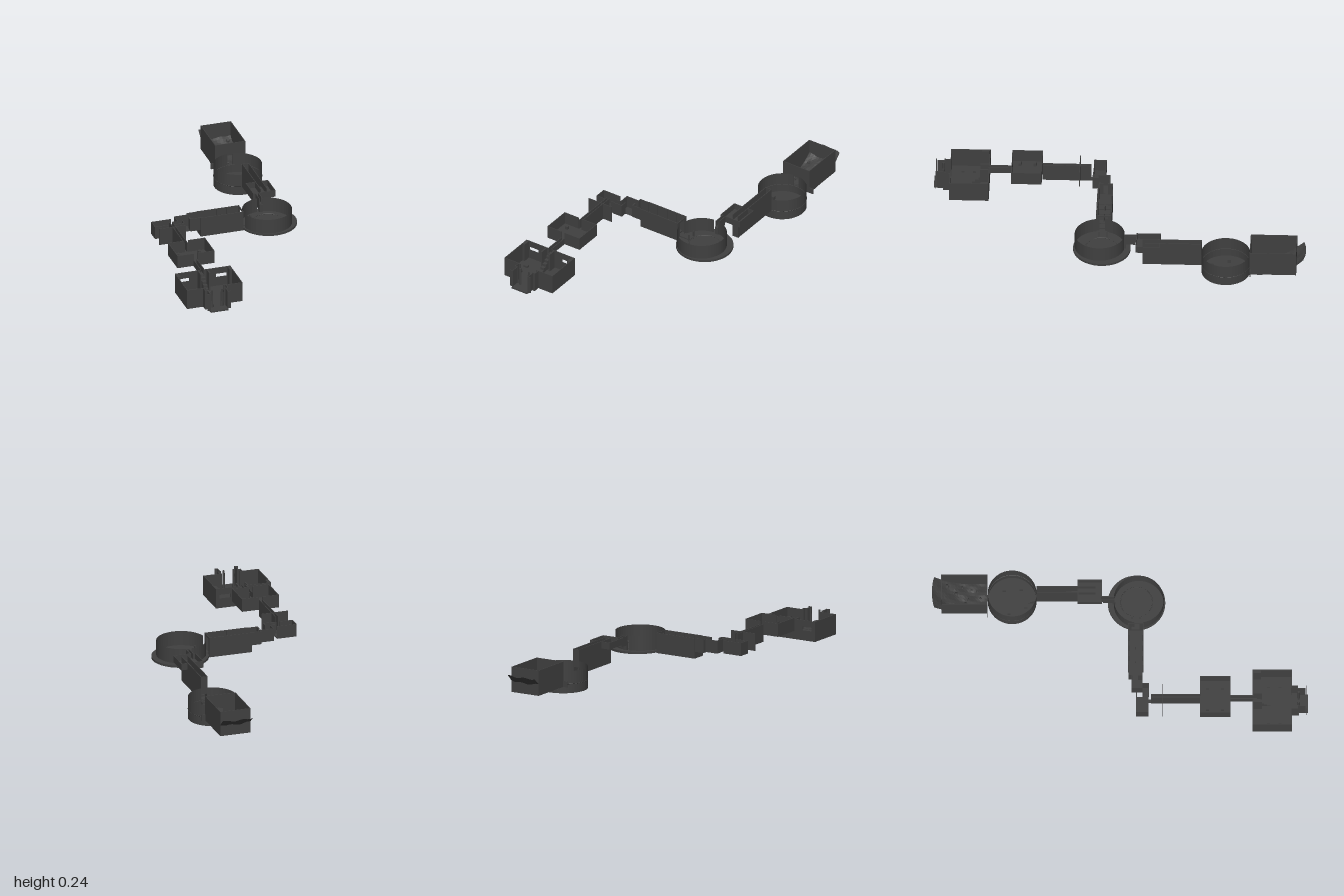
import * as THREE from 'three';

const T = 0.004; // wall thickness
const mat = new THREE.MeshStandardMaterial({ color: 0x404040, flatShading: true, side: THREE.DoubleSide });

export function createModel() {
  const model = new THREE.Group();
  let parent = model;

  const section = (name) => {
    parent = new THREE.Group();
    parent.name = name;
    model.add(parent);
  };
  const add = (name, geo, x = 0, y = 0, z = 0) => {
    const m = new THREE.Mesh(geo, mat);
    m.name = name;
    m.position.set(x, y, z);
    parent.add(m);
    return m;
  };
  // Box given by its limits
  const box = (name, x0, x1, y0, y1, z0, z1) =>
    add(name, new THREE.BoxGeometry(x1 - x0, y1 - y0, z1 - z0), (x0 + x1) / 2, (y0 + y1) / 2, (z0 + z1) / 2);

  // Upright wall along x or z, with rectangular openings [from, to, bottom, top]
  const wall = (name, axis, at, a, b, y0, y1, openings = []) => {
    const put = (p, q, lo, hi) => {
      if (q - p < 1e-4 || hi - lo < 1e-4) return;
      if (axis === 'x') box(name, p, q, lo, hi, at - T / 2, at + T / 2);
      else box(name, at - T / 2, at + T / 2, lo, hi, p, q);
    };
    let p = a;
    for (const [o0, o1, lo, hi] of openings) {
      put(p, o0, y0, y1);
      put(o0, o1, y0, lo);
      put(o0, o1, hi, y1);
      p = o1;
    }
    put(p, b, y0, y1);
  };

  // Open-topped room; openings are keyed by side
  const room = (x0, x1, y0, y1, z0, z1, open = {}) => {
    box('floor', x0, x1, y0, y0 + T, z0, z1);
    const h = T / 2;
    const sides = { back: ['x', z0 + h, x0, x1], front: ['x', z1 - h, x0, x1], right: ['z', x0 + h, z0, z1], left: ['z', x1 - h, z0, z1] };
    for (const [side, [axis, at, a, b]] of Object.entries(sides)) {
      if (open[side] !== 'none') wall(side + 'Wall', axis, at, a, b, y0, y1, open[side]);
    }
  };

  // Solid steps from height h0 at position a to height h1 at position b
  const stairs = (axis, a, b, c0, c1, base, h0, h1, n) => {
    for (let i = 0; i < n; i++) {
      const p = a + (b - a) * i / n, q = a + (b - a) * (i + 1) / n;
      const top = h0 + (h1 - h0) * (i + 0.5) / n, lo = Math.min(p, q), hi = Math.max(p, q);
      if (axis === 'x') box('step', lo, hi, base, top, c0, c1);
      else box('step', c0, c1, base, top, lo, hi);
    }
  };

  // Curved wall from angle t0 to t1 (0 is front, quarter turn is left)
  const arc = (name, x, z, r, y0, y1, t0, t1) =>
    add(name, new THREE.CylinderGeometry(r, r, y1 - y0, Math.ceil((t1 - t0) * 8), 1, true, t0, t1 - t0), x, (y0 + y1) / 2, z);
  const disc = (name, x, z, r, y0, y1) => add(name, new THREE.CylinderGeometry(r, r, y1 - y0, 48), x, (y0 + y1) / 2, z);

  // Entrance hall with windows beside the rear door
  section('entranceHall');
  room(-0.45, -0.14, 0.09, 0.2, 0.705, 0.915, {
    back: [[-0.43, -0.37, 0.145, 0.165], [-0.31, -0.285, 0.165, 0.2], [-0.22, -0.16, 0.145, 0.165]],
    front: [[-0.345, -0.245, 0.094, 0.2]],
  });
  for (const s of [-1, 1]) {
    const cx = -0.295;
    box('sidePier', cx + s * 0.145 - 0.008, cx + s * 0.145 + 0.008, 0.09, 0.2, 0.71, 0.75);
    box('doorPier', cx + s * 0.025 - 0.004, cx + s * 0.025 + 0.004, 0.09, 0.2, 0.71, 0.755);
    for (const z of [0.79, 0.85]) box('bench', cx + s * 0.1 - 0.012, cx + s * 0.1 + 0.012, 0.09, 0.105, z - 0.008, z + 0.008);
    wall('porchWall', 'z', cx + s * 0.063, 0.91, 0.945, 0.09, 0.2);
    wall('porchShoulder', 'x', 0.945, cx + s * 0.055 - 0.01, cx + s * 0.055 + 0.01, 0.09, 0.2);
    wall('porchOuterWall', 'z', cx + s * 0.05, 0.945, 0.985, 0.1, 0.2);
    wall('porchReturn', 'x', 0.99, cx + s * 0.056 - 0.01, cx + s * 0.056 + 0.01, 0.1, 0.2);
    add('porchColumn', new THREE.CylinderGeometry(0.006, 0.008, 0.1, 8), cx + s * 0.028, 0.15, 0.95);
  }
  box('porchFloor', -0.36, -0.23, 0.09, 0.096, 0.91, 0.95);
  box('porchStep', -0.345, -0.245, 0.092, 0.1, 0.95, 1);
  stairs('z', 0.8, 0.71, -0.308, -0.286, 0.092, 0.1, 0.168, 5);

  // Passage to the square room
  section('firstPassage');
  room(-0.308, -0.286, 0.168, 0.204, 0.585, 0.71, { front: 'none', back: 'none' });

  section('squareRoom');
  const gap = [[-0.305, -0.285, 0.172, 0.24]];
  room(-0.397, -0.19, 0.168, 0.24, 0.425, 0.588, { front: gap, back: gap });
  for (const x of [-0.355, -0.235]) for (const z of [0.465, 0.545])
    box('block', x - 0.008, x + 0.008, 0.17, 0.19, z - 0.008, z + 0.008);

  // Narrow stepped passage with a cross wall
  section('steppedPassage');
  for (const x of [-0.304, -0.288]) wall('passageWall', 'z', x, 0.165, 0.425, 0.13, 0.225);
  stairs('z', 0.425, 0.15, -0.304, -0.288, 0.13, 0.172, 0.138, 8);
  wall('crossWall', 'x', 0.225, -0.38, -0.23, 0.13, 0.225, [[-0.304, -0.288, 0.15, 0.2]]);

  // Crooked chain of small chambers
  section('crookedPassage');
  room(-0.38, -0.27, 0.13, 0.2, 0.085, 0.152, { left: 'none', front: [[-0.304, -0.288, 0.134, 0.2]] });
  room(-0.27, -0.215, 0.13, 0.2, 0.12, 0.155, { right: 'none', back: [[-0.245, -0.215, 0.134, 0.2]] });
  room(-0.245, -0.17, 0.13, 0.2, 0.062, 0.12, { front: 'none', left: [[0.07, 0.095, 0.134, 0.2]] });
  room(-0.17, -0.115, 0.127, 0.2, 0.045, 0.12, { right: [[0.07, 0.095, 0.134, 0.2]], left: 'none' });

  // Long gallery with a descending middle
  section('longGallery');
  room(-0.115, 0.125, 0.09, 0.2, 0.042, 0.125, { right: [[0.045, 0.12, 0.13, 0.2]], left: [[0.06, 0.105, 0.1, 0.19]] });
  stairs('x', -0.112, 0.1, 0.044, 0.123, 0.092, 0.132, 0.1, 6);
  for (const x of [-0.05, 0.03]) box('divider', x - 0.025, x + 0.025, 0.1, 0.15, 0.081, 0.086);
  for (const x of [-0.06, 0, 0.06]) for (const z of [0.046, 0.117]) box('pilaster', x - 0.004, x + 0.004, 0.095, 0.2, z, z + 0.004);

  // Upper round chamber on a wide base
  section('upperRotunda');
  disc('baseFlange', 0.274, 0.088, 0.153, 0.092, 0.104);
  disc('lowerDisc', 0.274, 0.088, 0.085, 0.083, 0.094);
  add('floorRing', new THREE.TorusGeometry(0.085, 0.003, 6, 48).rotateX(Math.PI / 2), 0.274, 0.105, 0.088);
  const P = Math.PI;
  arc('curvedWall', 0.264, 0.1, 0.133, 0.104, 0.185, -0.5 * P + 0.17, P - 0.06);
  arc('curvedWall', 0.264, 0.1, 0.133, 0.104, 0.185, P + 0.1, 1.5 * P - 0.17);
  box('landing', 0.12, 0.19, 0.098, 0.11, 0.065, 0.105);
  box('rearDoorSill', 0.262, 0.282, 0.104, 0.148, -0.04, -0.025);
  for (const s of [-1, 1]) box('doorPost', 0.18, 0.188, 0.1, 0.14, 0.085 + s * 0.022 - 0.003, 0.085 + s * 0.022 + 0.003);

  // Small antechamber
  section('antechamber');
  room(0.262, 0.282, 0.146, 0.182, -0.1, -0.03, { front: 'none', back: 'none' });
  box('passageFooting', 0.262, 0.282, 0.13, 0.146, -0.09, -0.03);
  room(0.25, 0.375, 0.146, 0.183, -0.225, -0.095, { front: [[0.262, 0.282, 0.15, 0.183]], back: [[0.302, 0.34, 0.15, 0.183]] });

  // Tall passage leading down
  section('descendingPassage');
  room(0.302, 0.34, 0.048, 0.184, -0.445, -0.13, { front: [[0.306, 0.336, 0.146, 0.184]], back: [[0.306, 0.336, 0.052, 0.09]] });
  stairs('z', -0.135, -0.44, 0.305, 0.337, 0.05, 0.148, 0.052, 10);

  // Lower round chamber
  section('lowerRotunda');
  const lx = 0.32, lz = -0.573, lr = 0.13;
  disc('floor', lx, lz, lr, 0, 0.006);
  arc('lowerWall', lx, lz, lr, 0, 0.05, 0, 2 * P);
  arc('upperWall', lx, lz, lr, 0.05, 0.12, 0.14, P - 0.14);
  arc('upperWall', lx, lz, lr, 0.05, 0.12, P + 0.14, 2 * P - 0.14);
  arc('doorLintel', lx, lz, lr, 0.085, 0.12, -0.14, 0.14);
  add('wallBand', new THREE.TorusGeometry(lr - 0.001, 0.002, 5, 48).rotateX(P / 2), lx, 0.05, lz);
  stairs('z', -0.447, -0.49, 0.305, 0.337, 0.004, 0.05, 0.01, 4);
  for (const [x, z] of [[0.25, -0.59], [0.38, -0.615], [0.385, -0.525], [0.285, -0.5]])
    box('stone', x - 0.009, x + 0.009, 0.004, 0.025, z - 0.009, z + 0.009);

  // Rear cave: walls and a ground sheet that curls up at the back
  section('rearCave');
  wall('facade', 'x', -0.705, 0.212, 0.428, 0.042, 0.075, [[0.305, 0.335, 0.042, 0.075]]);
  wall('facadeUpper', 'x', -0.705, 0.235, 0.405, 0.075, 0.18, [[0.305, 0.335, 0.075, 0.11]]);
  for (const x of [0.237, 0.403]) wall('sideWall', 'z', x, -0.95, -0.705, 0.042, 0.18);
  wall('rearWall', 'x', -0.948, 0.235, 0.405, 0.042, 0.18);
  const ground = new THREE.PlaneGeometry(0.17, 0.295, 10, 18).rotateX(-P / 2);
  const pos = ground.attributes.position;
  for (let i = 0; i < pos.count; i++) {
    const x = pos.getX(i), t = (0.1475 - pos.getZ(i)) / 0.295;
    const rise = 0.045 - 0.04 * t + 0.135 * t ** 2.4;
    pos.setY(i, rise + 0.004 * Math.sin(x * 70) * Math.sin(t * 17));
    pos.setZ(i, pos.getZ(i) + 0.012 * t * (x / 0.085) ** 2);
  }
  ground.computeVertexNormals();
  add('ground', ground, 0.32, 0, -0.8525);
  for (let i = 0; i < 12; i++) {
    const t = 0.12 + 0.055 * i;
    const y = 0.045 - 0.04 * t + 0.135 * t ** 2.4;
    add('rock', new THREE.DodecahedronGeometry(0.007 + 0.002 * (i % 3)), 0.32 + 0.06 * Math.sin(i * 2.4), y + 0.003, -0.705 - 0.295 * t);
  }

  return model;
}
